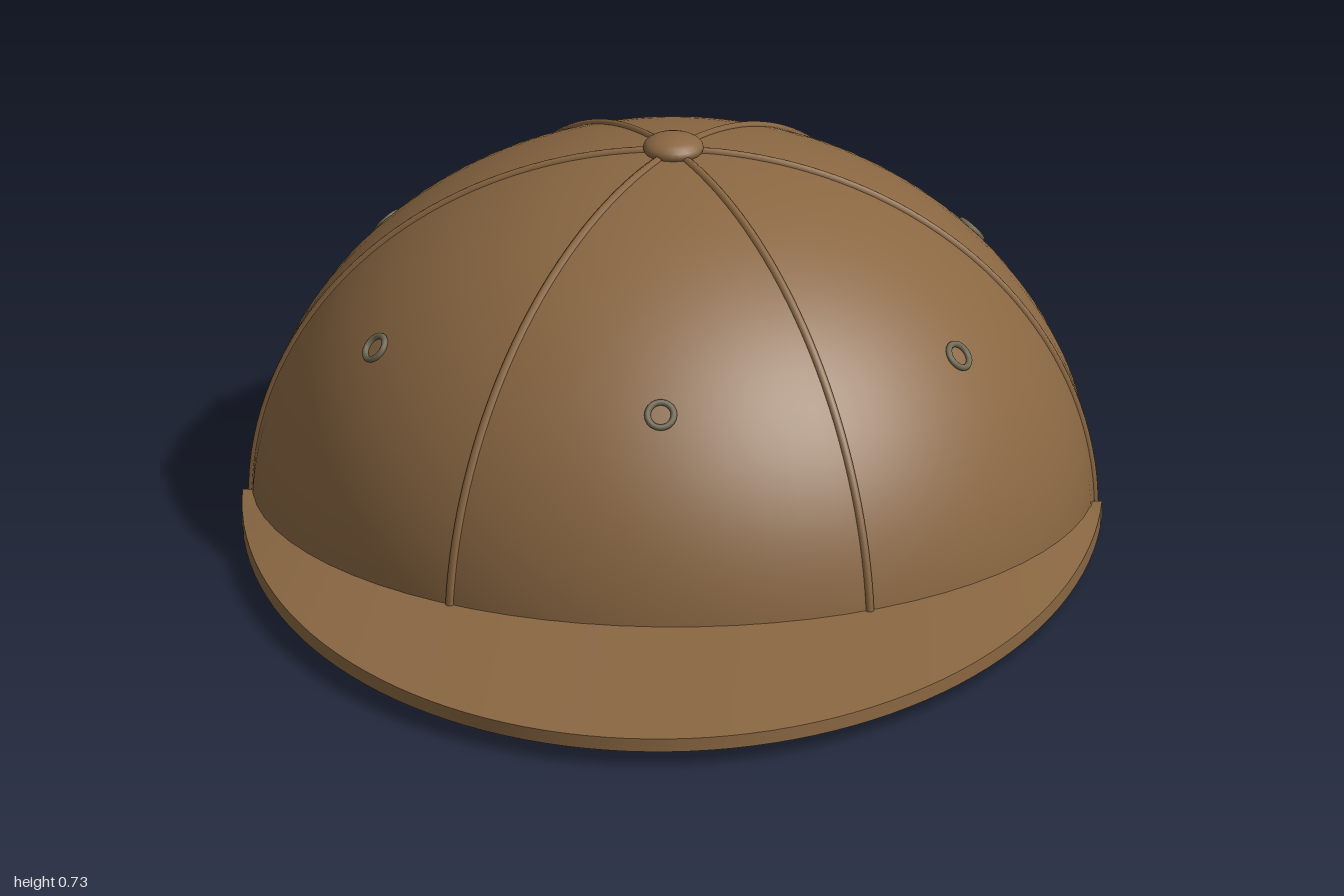
import * as THREE from 'three';
import { toCreasedNormals } from 'three/addons/utils/BufferGeometryUtils.js';

const R = 0.76, H = 0.68, BASE = 0.02, CZ = -0.235;   // crown radius, height, foot, centre
const SEGS = 68, GAP = 4;                             // opening spans GAP segments each side of the back
const gapAngle = GAP * Math.PI * 2 / SEGS;
const BACK = Math.PI * 1.5;

const mat = (name, color, open) => {
  const m = new THREE.MeshStandardMaterial({ color });
  m.name = name;
  if (open) m.side = THREE.DoubleSide;
  return m;
};

// Point on the crown: angle a from the front, height angle e (0 = rim, PI/2 = top)
const onCrown = (a, e, out = 0) => new THREE.Vector3(
  (R + out) * Math.sin(a) * Math.cos(e), (H + out) * Math.sin(e), (R + out) * Math.cos(a) * Math.cos(e));

// Visor: a four-cornered section swept from one temple to the other
function brimGeometry() {
  const n = 64, pos = [], idx = [];
  for (let i = 0; i <= n; i++) {
    const t = (i / n - 0.5) * Math.PI, c = Math.max(0, Math.cos(t)), b = t * 0.962;
    const ix = 0.745 * Math.sin(b), iz = CZ + 0.745 * Math.cos(b);
    const ox = 0.775 * Math.sin(t), oz = -0.19 + 1.19 * c;
    const s = Math.sqrt(c);
    pos.push(ix, 0.046 + 0.034 * s, iz, ox, 0.048 + 0.007 * s, oz,
      ox, 0.018 + 0.012 * s, oz, ix, 0.018 + 0.01 * s, iz);
    if (i < n) for (let k = 0; k < 4; k++) {
      const a = i * 4 + k, d = i * 4 + (k + 1) % 4;
      idx.push(a, d, a + 4, d, d + 4, a + 4);
    }
  }
  const e = n * 4;
  idx.push(0, 2, 1, 0, 3, 2, e, e + 1, e + 2, e, e + 2, e + 3);
  const g = new THREE.BufferGeometry();
  g.setAttribute('position', new THREE.Float32BufferAttribute(pos, 3));
  g.setIndex(idx);
  return toCreasedNormals(g, 0.6);
}

export function createModel() {
  const group = new THREE.Group();
  group.name = 'cap';
  const brown = mat('brown fabric', 0x8a6742, true);
  const navy = mat('navy sweatband', 0x30424e);
  const beige = mat('beige buckle', 0xc0ad8c);
  const thread = mat('eyelet thread', 0x6f6852);

  const add = (parent, name, geo, m, x = 0, y = 0, z = 0) => {
    const mesh = new THREE.Mesh(geo, m);
    mesh.name = name;
    mesh.position.set(x, y, z);
    parent.add(mesh);
    return mesh;
  };

  const crown = new THREE.Group();
  crown.name = 'crown';
  crown.position.set(0, BASE, CZ);
  group.add(crown);

  // Dome: full upper cap, lower wall interrupted by the back opening
  const split = Math.acos(0.26 / H);
  add(crown, 'upperDome', new THREE.SphereGeometry(R, SEGS, 24, BACK, Math.PI * 2, 0, split), brown)
    .scale.y = H / R;
  add(crown, 'lowerDome', new THREE.SphereGeometry(R, SEGS - 2 * GAP, 12,
    BACK + gapAngle, Math.PI * 2 - 2 * gapAngle, split, Math.PI / 2 - split), brown).scale.y = H / R;

  // Six seams and six eyelets between them
  for (let i = 0; i < 6; i++) {
    const a = (i + 0.5) * Math.PI / 3;
    const pts = [];
    for (let k = 0; k <= 16; k++) pts.push(onCrown(a, k / 16 * Math.PI / 2));
    add(crown, 'seam', new THREE.TubeGeometry(new THREE.CatmullRomCurve3(pts), 40, 0.008, 6), brown);

    const b = i * Math.PI / 3, e = Math.asin(0.41 / H);
    const p = onCrown(b, e, 0.002);
    const eyelet = add(crown, 'eyelet', new THREE.TorusGeometry(0.024, 0.006, 8, 20), thread, p.x, p.y, p.z);
    const normal = new THREE.Vector3(p.x / (R * R), p.y / (H * H), p.z / (R * R)).normalize();
    eyelet.quaternion.setFromUnitVectors(new THREE.Vector3(0, 0, 1), normal);
  }

  // Top button
  add(crown, 'button', new THREE.SphereGeometry(0.055, 24, 12), brown, 0, H + 0.006, 0).scale.y = 0.45;

  // Sweatband, open at the back, with rounded ends
  const band = new THREE.TorusGeometry(0.738, 0.025, 12, 72, Math.PI * 2 - 2 * gapAngle);
  band.rotateZ(BACK + gapAngle).rotateX(Math.PI / 2);
  add(group, 'sweatband', band, navy, 0, 0.025, CZ);
  for (const s of [-1, 1]) {
    add(group, 'sweatbandEnd', new THREE.SphereGeometry(0.025, 12, 8), navy,
      s * 0.738 * Math.sin(gapAngle), 0.025, CZ - 0.738 * Math.cos(gapAngle));
  }

  add(group, 'brim', brimGeometry(), brown);

  // Adjusting strap across the opening
  const strapCurve = new THREE.QuadraticBezierCurve3(
    new THREE.Vector3(-0.285, 0.055, -0.938), new THREE.Vector3(0, 0.055, -1.008),
    new THREE.Vector3(0.285, 0.055, -0.938));
  add(group, 'strap', new THREE.TubeGeometry(strapCurve, 24, 0.027, 12), brown);
  for (const t of [0, 1]) {
    const p = strapCurve.getPoint(t);
    const cap = add(group, 'strapEnd', new THREE.CircleGeometry(0.027, 12), brown, p.x, p.y, p.z);
    cap.rotation.y = Math.PI / 2;
  }

  // Six-sided buckle sleeve
  const buckle = add(group, 'buckle', toCreasedNormals(
    new THREE.CylinderGeometry(0.036, 0.036, 0.12, 6), 0.5), beige, 0.122, 0.055, -0.966);
  buckle.rotation.set(0, -0.1, Math.PI / 2, 'YXZ');
  buckle.scale.z = 0.95;

  return group;
}
